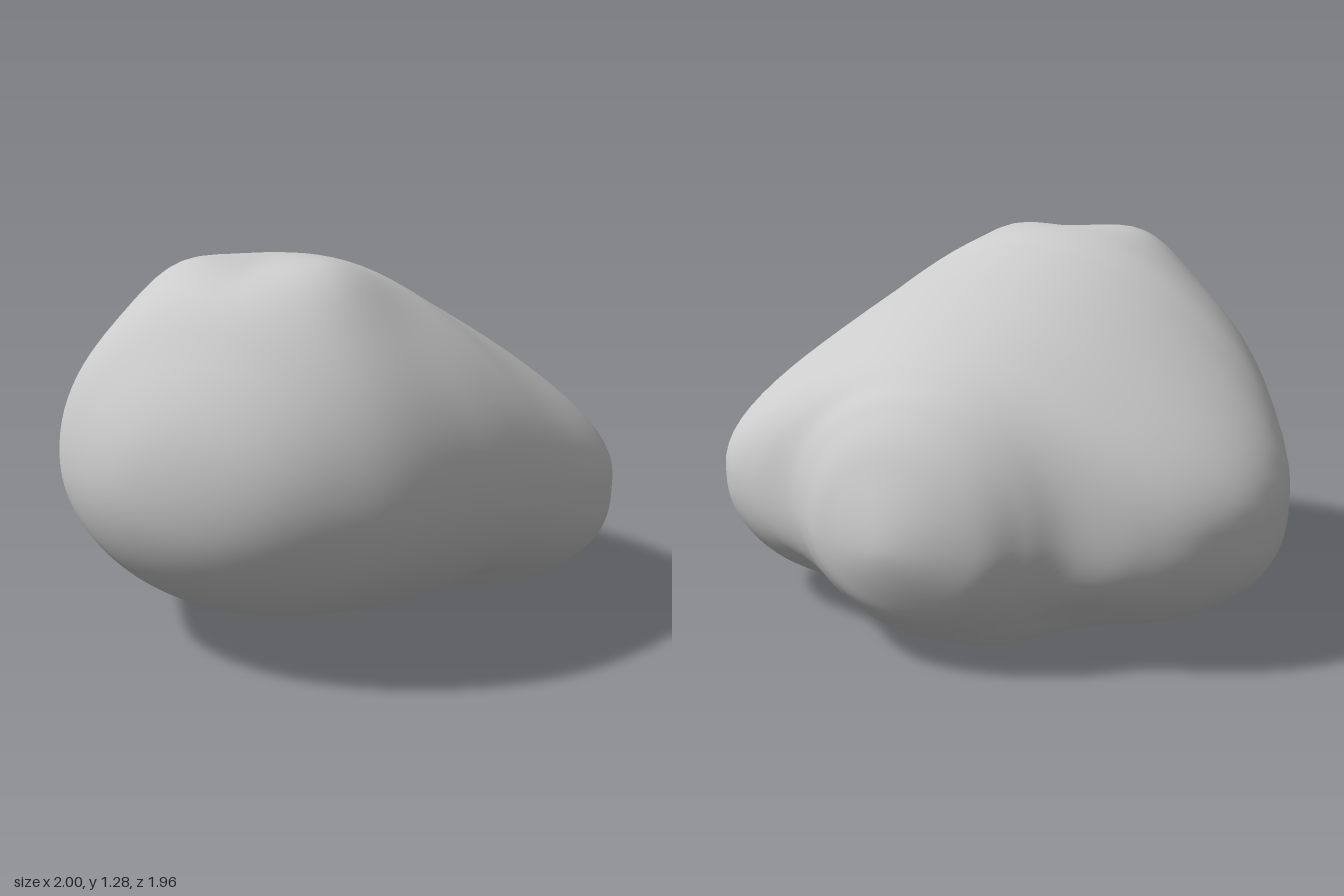
import * as THREE from 'three';
import { mergeVertices } from 'three/addons/utils/BufferGeometryUtils.js';

// Cross-sections from front to back:
// z, half width, side lobe bulge, top, height of widest point, bottom, squareness of the underside
const SECTIONS = [
  [0.98, 0, 0, 0.65, 0.65, 0.65, 2],
  [0.95, 0.24, 0, 0.84, 0.65, 0.47, 2],
  [0.85, 0.44, 0, 1.03, 0.64, 0.31, 2],
  [0.70, 0.59, 0.02, 1.20, 0.63, 0.20, 2.1],
  [0.45, 0.69, 0.075, 1.265, 0.61, 0.12, 2.2],
  [0.22, 0.735, 0.13, 1.28, 0.58, 0.065, 2.4],
  [0.03, 0.77, 0.175, 1.22, 0.53, 0.03, 2.7],
  [-0.15, 0.785, 0.21, 1.155, 0.50, 0.015, 3.1],
  [-0.32, 0.765, 0.23, 1.095, 0.485, 0.03, 3.3],
  [-0.47, 0.71, 0.235, 1.035, 0.475, 0.025, 3],
  [-0.60, 0.635, 0.20, 0.98, 0.47, 0.025, 2.4],
  [-0.68, 0.56, 0.13, 0.935, 0.46, 0.05, 2.1],
  [-0.745, 0.475, 0.02, 0.885, 0.45, 0.085, 2],
  [-0.82, 0.385, 0, 0.82, 0.445, 0.135, 2],
  [-0.91, 0.255, 0, 0.68, 0.43, 0.22, 2],
  [-0.98, 0, 0, 0.42, 0.42, 0.42, 2],
];

// Soft pushes on both sides: centre, radius, shift
const PUSHES = [
  { at: [0.27, 1.23, 0.5], r: 0.19, by: [0.01, 0.055, 0] },      // horns on top
  { at: [0.6, 0.16, 0.1], r: 0.16, by: [-0.04, 0.04, 0] },       // hollow in front of side lobe
  { at: [0.42, 0.06, -0.08], r: 0.15, by: [0, 0.045, 0] },       // groove beside belly
  { at: [0.47, 0.13, -0.6], r: 0.16, by: [-0.03, 0.04, 0.02] },  // hollow behind side lobe
  { at: [0.12, 0.02, -0.56], r: 0.14, by: [0, -0.02, 0] },       // bumps under the back
];

// Continue the rows past the tip so the ends close roundly
function beyondTip(tip, next) {
  return next.map((v, k) => (k === 0 || k === 4 || k === 6 ? v : 2 * tip[k] - v));
}

// Smooth blend between neighbouring cross-sections
function sectionAt(u) {
  const last = SECTIONS.length - 1;
  const i = Math.min(Math.floor(u), last - 1);
  const t = u - i;
  const p1 = SECTIONS[i], p2 = SECTIONS[i + 1];
  const p0 = i > 0 ? SECTIONS[i - 1] : beyondTip(p1, p2);
  const p3 = i + 2 <= last ? SECTIONS[i + 2] : beyondTip(p2, p1);
  return p1.map((b, k) => {
    const a = p0[k], c = p2[k], d = p3[k];
    return b + 0.5 * t * (c - a + t * (2 * a - 5 * b + 4 * c - d + t * (3 * (b - c) + d - a)));
  });
}

const signedPow = (v, e) => Math.sign(v) * Math.pow(Math.abs(v), e);

function pointOn([z, w, lobe, top, mid, bottom, square], angle) {
  const cos = Math.cos(angle), sin = Math.sin(angle);
  const e = sin >= 0 ? 1 : 2 / square;
  const c = signedPow(cos, e), s = signedPow(sin, e);
  const p = new THREE.Vector3(
    w * c + lobe * Math.pow(c, 5),
    mid + (sin >= 0 ? top - mid : mid - bottom) * s,
    z,
  );
  const side = Math.abs(p.x) < 1e-6 ? 0 : Math.sign(p.x);
  const start = new THREE.Vector3(Math.abs(p.x), p.y, p.z);
  for (const { at, r, by } of PUSHES) {
    const g = Math.exp(-start.distanceToSquared(new THREE.Vector3(...at)) / (r * r));
    p.x += side * by[0] * g;
    p.y += by[1] * g;
    p.z += by[2] * g;
  }
  return p;
}

function bodyGeometry(rings = 120, around = 96) {
  const positions = [], index = [];
  for (let i = 0; i <= rings; i++) {
    const section = sectionAt((i / rings) * (SECTIONS.length - 1));
    for (let j = 0; j < around; j++) {
      positions.push(...pointOn(section, (j / around) * Math.PI * 2).toArray());
    }
  }
  for (let i = 0; i < rings; i++) {
    for (let j = 0; j < around; j++) {
      const a = i * around + j, b = i * around + ((j + 1) % around);
      const c = a + around, d = b + around;
      // The tips need only one triangle per side
      if (i < rings - 1) index.push(a, c, d);
      else index.push(a, c, b);
      if (i > 0 && i < rings - 1) index.push(a, d, b);
    }
  }
  const geometry = new THREE.BufferGeometry();
  geometry.setAttribute('position', new THREE.Float32BufferAttribute(positions, 3));
  geometry.setIndex(index);
  const merged = mergeVertices(geometry, 1e-5);
  merged.computeVertexNormals();
  return merged;
}

export function createModel() {
  const model = new THREE.Group();
  model.name = 'lobedBlob';
  const body = new THREE.Mesh(bodyGeometry(), new THREE.MeshStandardMaterial({ color: 0xcccccc }));
  body.name = 'body';
  model.add(body);
  return model;
}
